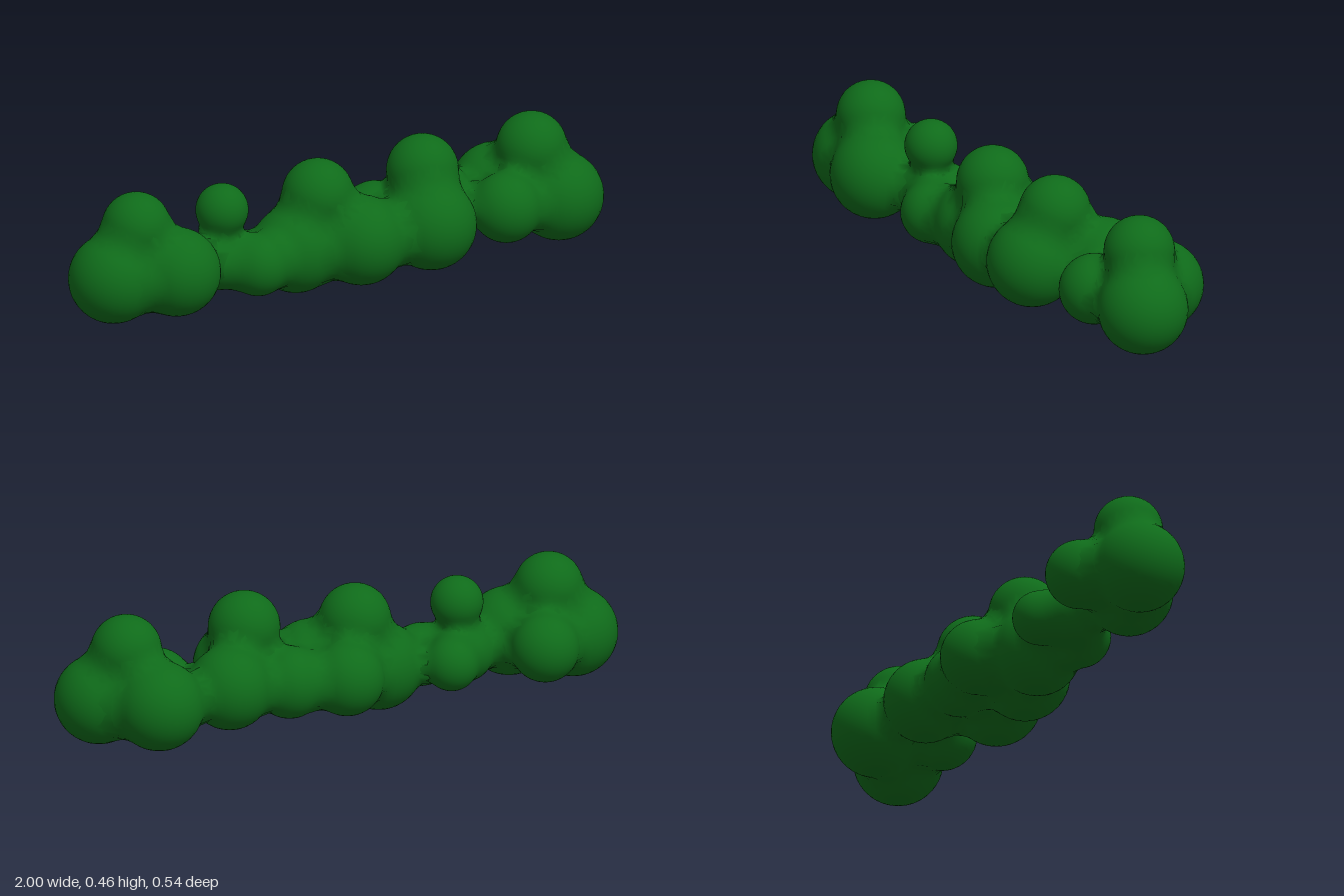
import * as THREE from 'three';

// Foliage clumps: x, y, z, radius
const upperClumps = [
  [-0.765, 0.34, 0.02, 0.115],
  [-0.43, 0.335, 0.01, 0.088],
  [-0.065, 0.325, 0.015, 0.12],
  [0.325, 0.347, 0.035, 0.12],
  [0.765, 0.338, 0, 0.118],
];
const lowerClumps = [
  [-0.85, 0.172, 0.015, 0.15],
  [-0.65, 0.18, 0.085, 0.148],
  [-0.69, 0.18, -0.122, 0.115],
  [-0.45, 0.16, 0, 0.1],
  [-0.33, 0.145, 0.075, 0.105],
  [-0.365, 0.16, -0.095, 0.09],
  [-0.15, 0.15, 0.015, 0.147],
  [0.02, 0.17, -0.115, 0.125],
  [0.06, 0.163, 0.085, 0.15],
  [0.21, 0.17, -0.075, 0.12],
  [0.31, 0.182, 0.115, 0.152],
  [0.43, 0.185, -0.085, 0.14],
  [0.62, 0.175, 0.08, 0.118],
  [0.7, 0.172, -0.122, 0.15],
  [0.845, 0.165, 0.04, 0.15],
];
const clumps = [...upperClumps, ...lowerClumps];
const BLEND = 0.06;

// Signed distance to all clumps, softly merged where they meet
function field(p) {
  let d = 1;
  for (const [x, y, z, r] of clumps) {
    const s = Math.hypot(p.x - x, p.y - y, p.z - z) - r;
    const h = Math.max(BLEND - Math.abs(d - s), 0) / BLEND;
    d = Math.min(d, s) - (h * h * BLEND) / 4;
  }
  return d;
}

// Outward direction of the merged surface
function fieldNormal(p) {
  const e = 0.002;
  const slope = (x, y, z) =>
    field(new THREE.Vector3(p.x + x, p.y + y, p.z + z)) -
    field(new THREE.Vector3(p.x - x, p.y - y, p.z - z));
  return new THREE.Vector3(slope(e, 0, 0), slope(0, e, 0), slope(0, 0, e)).normalize();
}

// A sphere whose vertices are pushed out to the merged surface, forming fillets
function clumpGeometry([x, y, z, r]) {
  const geo = new THREE.SphereGeometry(1, 36, 24);
  const pos = geo.attributes.position;
  const centre = new THREE.Vector3(x, y, z);
  const dir = new THREE.Vector3();
  const p = new THREE.Vector3();
  for (let i = 0; i < pos.count; i++) {
    dir.fromBufferAttribute(pos, i).normalize();
    let t = r;
    for (let step = 0; step < 14; step++) {
      p.copy(centre).addScaledVector(dir, t);
      t = Math.min(t - field(p), r * 1.5);
    }
    p.copy(centre).addScaledVector(dir, t);
    pos.setXYZ(i, p.x, p.y, p.z);
    const n = fieldNormal(p);
    geo.attributes.normal.setXYZ(i, n.x, n.y, n.z);
  }
  return geo;
}

export function createModel() {
  const hedge = new THREE.Group();
  hedge.name = 'hedge';
  const leaf = new THREE.MeshStandardMaterial({ color: 0x0f6b1a });

  const addClumps = (list, groupName, meshName) => {
    const group = new THREE.Group();
    group.name = groupName;
    for (const clump of list) {
      const mesh = new THREE.Mesh(clumpGeometry(clump), leaf);
      mesh.name = meshName;
      group.add(mesh);
    }
    hedge.add(group);
  };

  // Long base row, then the five tufts on top
  addClumps(lowerClumps, 'lowerFoliage', 'lowerClump');
  addClumps(upperClumps, 'upperFoliage', 'upperClump');
  return hedge;
}
